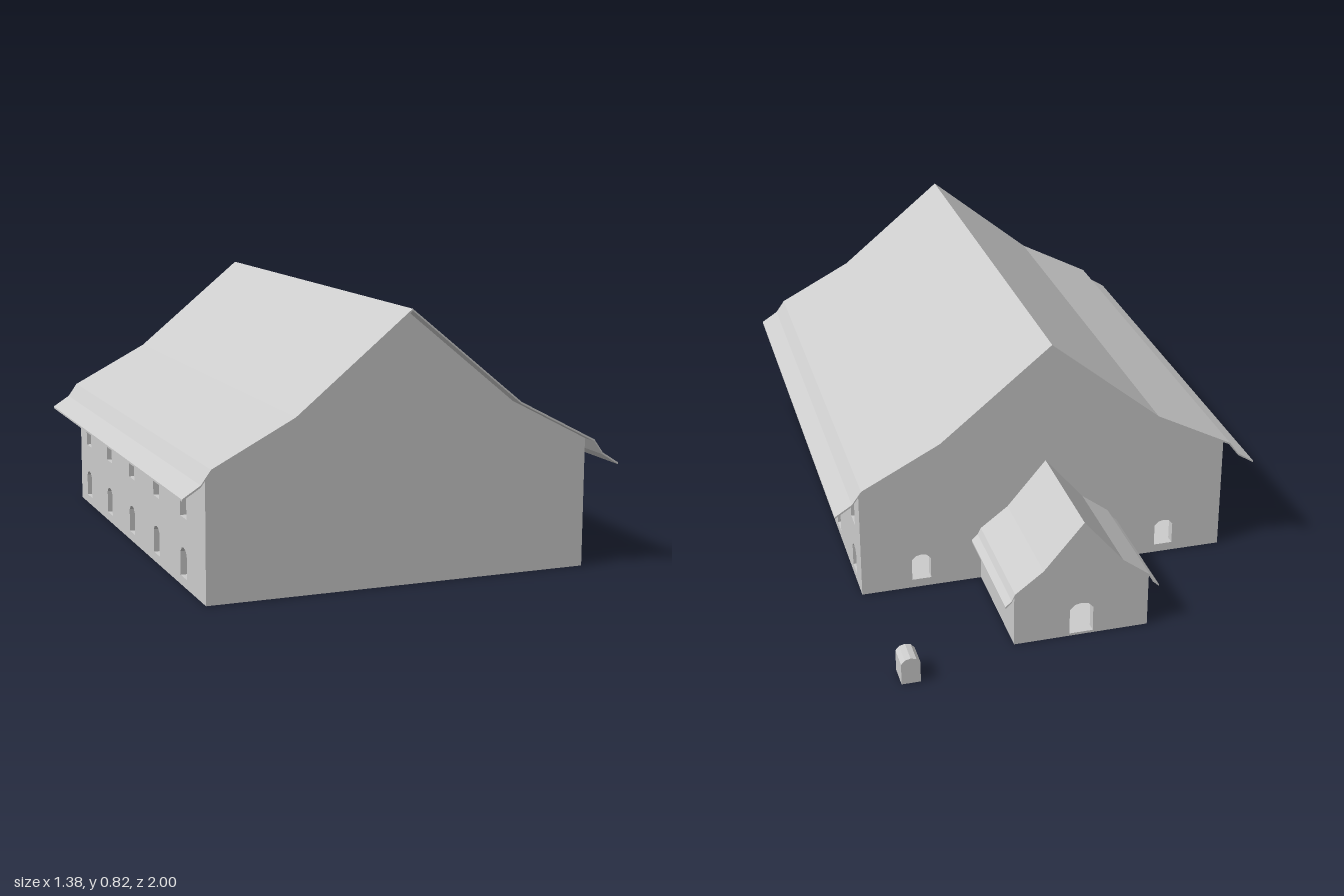
import * as THREE from 'three';

const WALL = 0.03; // wall thickness
const SHEET = 0.006; // roof thickness

// Right half of the roof line, ridge to eave
const ROOF = [[0, 0.825], [0.355, 0.535], [0.605, 0.405], [0.635, 0.363], [0.69, 0.328]];
// The porch repeats the same roof line, scaled down
const PORCH_ROOF = ROOF.map(([x, y]) => [x * 0.353, 0.145 + (y - 0.328) * 0.513]);

const material = new THREE.MeshStandardMaterial({ color: 0xcccccc, flatShading: true, side: THREE.DoubleSide });

const toShape = (points) => new THREE.Shape(points.map(([x, y]) => new THREE.Vector2(x, y)));

// Mirrors a half profile into a full line from left eave to right eave
const mirrored = (half) => [...half.slice(1).reverse().map(([x, y]) => [-x, y]), ...half];

// Outline of an arched opening standing at (x, y)
function arch(x, y, w = 0.062, h = 0.09) {
  return [[-0.5, 0], [0.5, 0], [0.5, 0.8], [0.3, 0.95], [0, 1], [-0.3, 0.95], [-0.5, 0.8]]
    .map(([u, v]) => [x + u * w, y + v * h]);
}

function slab(name, outline, depth, openings = []) {
  const shape = toShape(outline);
  shape.holes = openings.map(toShape);
  const mesh = new THREE.Mesh(
    new THREE.ExtrudeGeometry(shape, { depth, bevelEnabled: false }), material);
  mesh.name = name;
  return mesh;
}

// Thin folded roof running from z0 to z1
function roof(name, half, z0, z1) {
  const top = mirrored(half);
  const under = top.map(([x, y]) => [x, y - SHEET]).reverse();
  const mesh = slab(name, [...top, ...under], z1 - z0);
  mesh.position.z = z0;
  return mesh;
}

// End wall filling the roof line above the side walls
function gable(name, half, z, openings) {
  const upper = mirrored(half.slice(0, 3)).map(([x, y]) => [x, y - SHEET / 2]);
  const w = half[2][0];
  const mesh = slab(name, [[-w, 0], ...upper, [w, 0]], WALL, openings);
  mesh.position.z = z;
  return mesh;
}

// Pair of side walls along z, with optional openings
function sideWalls(name, half, z0, z1, openings) {
  const group = new THREE.Group();
  group.name = name;
  const [w, h] = half[2];
  const top = h - SHEET / 2;
  for (const x of [-w, w - WALL]) {
    const mesh = slab('sideWall', [[-z1, 0], [-z0, 0], [-z0, top], [-z1, top]], WALL, openings);
    mesh.rotation.y = Math.PI / 2;
    mesh.position.x = x;
    group.add(mesh);
  }
  return group;
}

function floor(name, w, z0, z1) {
  const mesh = new THREE.Mesh(new THREE.BoxGeometry(2 * w, 0.004, z1 - z0), material);
  mesh.name = name;
  mesh.position.set(0, 0.002, (z0 + z1) / 2);
  return mesh;
}

export function createModel() {
  const model = new THREE.Group();
  model.name = 'house';

  // Two rows of five windows on each long side
  const windows = [];
  for (const y of [0.028, 0.209]) {
    for (let i = 0; i < 5; i++) windows.push(arch(-(0.735 - i * 0.279), y));
  }

  // Main building
  const back = -0.495, front = 0.945;
  model.add(
    sideWalls('mainSideWalls', ROOF, back + WALL, front - WALL, windows),
    gable('frontWall', ROOF, front - WALL, []),
    gable('backWall', ROOF, back, [arch(-0.41, 0.028), arch(0.41, 0.028)]),
    floor('mainFloor', ROOF[2][0], back, front),
    roof('mainRoof', ROOF, -0.55, 1),
  );

  // Rear porch, its roof running on into the main building
  const porchBack = -0.89;
  model.add(
    sideWalls('porchSideWalls', PORCH_ROOF, porchBack + WALL, back, []),
    gable('porchBackWall', PORCH_ROOF, porchBack, [arch(0, 0.008, 0.075, 0.105)]),
    floor('porchFloor', PORCH_ROOF[2][0], porchBack, back),
    roof('porchRoof', PORCH_ROOF, -0.9, -0.1),
  );

  // Small arched block behind the house
  const block = slab('yardBlock', arch(0.558, 0, 0.058, 0.086), 0.078);
  block.position.z = -1;
  model.add(block);

  return model;
}
